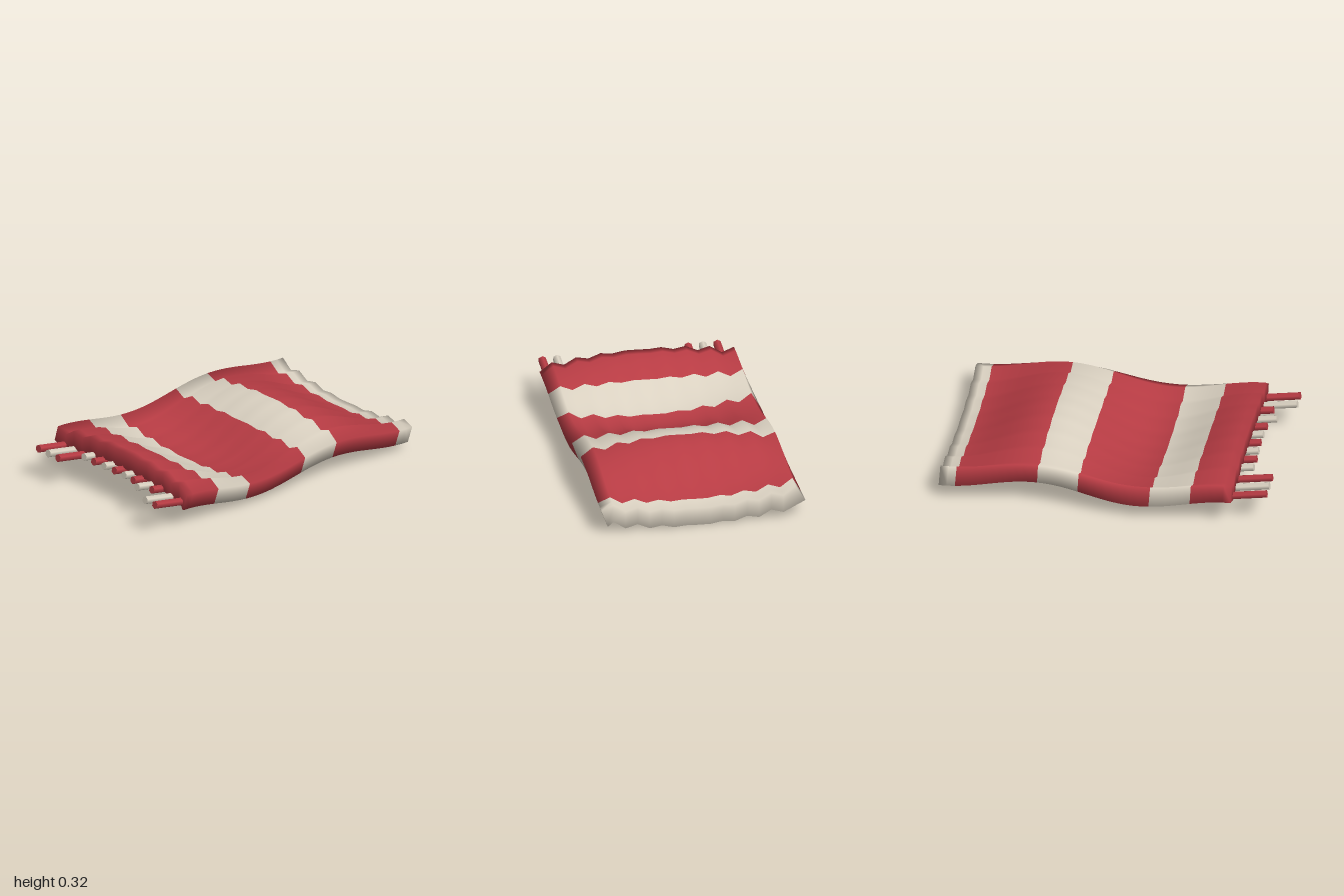
import * as THREE from 'three';

const red = new THREE.MeshStandardMaterial({ color: 0xb83c44 });
red.name = 'red';
const cream = new THREE.MeshStandardMaterial({ color: 0xdbd2c2 });
cream.name = 'cream';

const COLS = 17, HALF = 0.056, PERIOD = 1.2;

// Closed loop of points across the rug at depth z: top left to right, then bottom back.
function section(z) {
  const wave = Math.cos((2 * Math.PI * (z + 0.4)) / PERIOD);
  const top = [], bottom = [];
  for (let i = 0; i < COLS; i++) {
    const j = i - 8, x = j * 0.075;
    // waves fade towards the sides, small lengthwise pleats grow there
    const pleat = -0.038 * x * (j % 2 ? -1 : 1);
    const y = 0.16 + 0.103 * Math.cos(2 * x) * wave + pleat;
    let xb = x + 0.03;
    if (i === 0) xb = -0.615 + 0.015 * wave;
    if (i === COLS - 1) xb = 0.59;
    top.push([x + 0.03, y + HALF, z]);
    bottom.push([xb, y - HALF + (i === 0 ? 0.01 : 0), z]);
  }
  return [...top, ...bottom.reverse()];
}

// Thick wavy cloth, with one geometry group per stripe
function createCloth() {
  const edges = [-1, -0.9, -0.4, -0.15, 0.29, 0.54, 0.79];
  const ring = COLS * 2, positions = [], index = [];
  const geometry = new THREE.BufferGeometry();
  positions.push(...section(edges[0]).flat());
  let row = 0;
  const cap = (start, flip) => {
    for (let i = 0; i < COLS - 1; i++) {
      const a = start + i, b = a + 1, d = start + ring - 1 - i, c = d - 1;
      if (flip) index.push(a, b, c, a, c, d);
      else index.push(a, c, b, a, d, c);
    }
  };
  for (let s = 0; s < edges.length - 1; s++) {
    const first = index.length;
    if (s === 0) cap(0, true);
    const steps = Math.max(2, Math.round((edges[s + 1] - edges[s]) / 0.05));
    for (let k = 1; k <= steps; k++) {
      const z = edges[s] + ((edges[s + 1] - edges[s]) * k) / steps;
      positions.push(...section(z).flat());
      for (let i = 0; i < ring; i++) {
        const n = (i + 1) % ring;
        const a = row * ring + i, b = row * ring + n;
        const c = a + ring, d = b + ring;
        index.push(a, c, b, b, c, d);
      }
      row++;
    }
    if (s === edges.length - 2) cap(row * ring, false);
    geometry.addGroup(first, index.length - first, s % 2 ? 0 : 1);
  }
  geometry.setAttribute('position', new THREE.Float32BufferAttribute(positions, 3));
  geometry.setIndex(index);
  geometry.computeVertexNormals();
  const mesh = new THREE.Mesh(geometry, [red, cream]);
  mesh.name = 'stripedCloth';
  return mesh;
}

// Row of tilted six-sided tassels at the front edge
function createFringe() {
  const fringe = new THREE.Group();
  fringe.name = 'fringe';
  const tips = [1, 1, 1, 0.87, 0.87, 0.865, 0.86, 0.86, 0.865, 0.91, 0.87, 1, 1];
  const geometry = new THREE.CylinderGeometry(0.025, 0.025, 0.26, 6);
  geometry.rotateX(Math.PI / 2 - 0.18);
  tips.forEach((tip, i) => {
    const tassel = new THREE.Mesh(geometry, i % 2 ? cream : red);
    tassel.name = 'tassel';
    tassel.position.set(-0.51 + i * 0.09, 0.185, tip - 0.132);
    fringe.add(tassel);
  });
  return fringe;
}

export function createModel() {
  const rug = new THREE.Group();
  rug.name = 'wavyRug';
  rug.add(createCloth(), createFringe());
  return rug;
}
